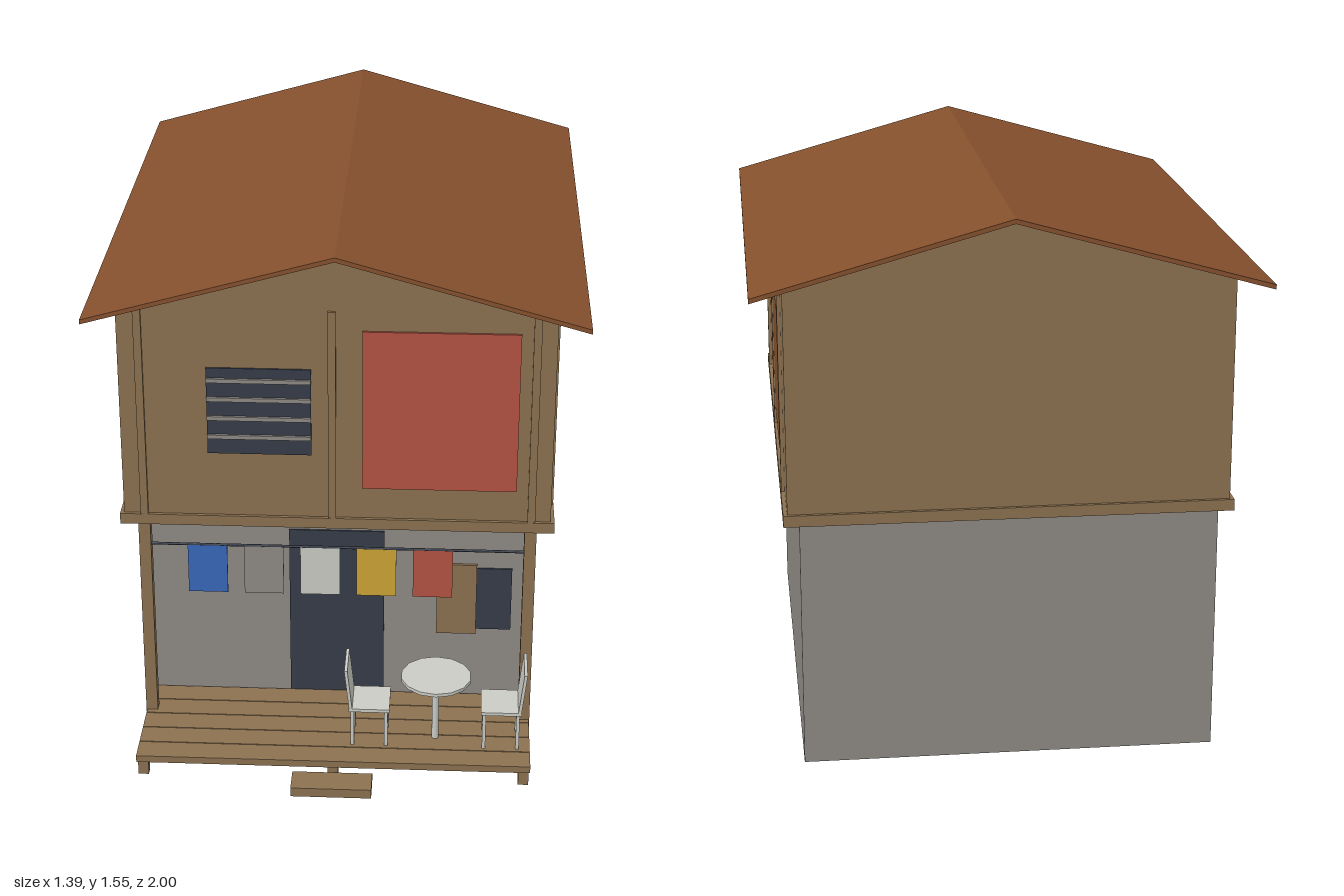
import * as THREE from 'three';

const mat = (name, color) => {
  const m = new THREE.MeshStandardMaterial({ color });
  m.name = name;
  return m;
};

export function createModel() {
  const wood = mat('wood', 0x8b7150), concrete = mat('concrete', 0x8e8a85);
  const rust = mat('rust', 0x85502d), red = mat('red', 0xb45343);
  const dark = mat('dark', 0x353b49), white = mat('white', 0xcbcbc5);
  const blue = mat('blue', 0x3767b8), yellow = mat('yellow', 0xcba335);

  const house = new THREE.Group();
  house.name = 'house';
  const add = (parent, name, geometry, material) => {
    const mesh = new THREE.Mesh(geometry, material);
    mesh.name = name;
    parent.add(mesh);
    return mesh;
  };
  // box given by its extents on each axis
  const box = (name, material, [x0, x1], [y0, y1], [z0, z1], parent = house) => {
    const mesh = add(parent, name, new THREE.BoxGeometry(x1 - x0, y1 - y0, z1 - z0), material);
    mesh.position.set((x0 + x1) / 2, (y0 + y1) / 2, (z0 + z1) / 2);
    return mesh;
  };
  // outline in x and y, extruded from z0 to z1
  const prism = (name, material, points, z0, z1) => {
    const shape = new THREE.Shape(points.map(([x, y]) => new THREE.Vector2(x, y)));
    const geometry = new THREE.ExtrudeGeometry(shape, { depth: z1 - z0, bevelEnabled: false });
    return add(house, name, geometry.translate(0, 0, z0), material);
  };

  // Ground floor, gabled upper floor and roof
  box('groundFloor', concrete, [-0.575, 0.575], [0, 0.7], [-0.925, 0.525]);
  prism('upperFloor', wood,
    [[-0.607, 0.7], [0.607, 0.7], [0.607, 1.365], [0, 1.534], [-0.607, 1.365]], -0.925, 0.67);
  box('floorBand', wood, [-0.618, 0.618], [0.7, 0.732], [-0.935, 0.68]);
  prism('roof', rust,
    [[-0.695, 1.34], [0, 1.534], [0.695, 1.34], [0.695, 1.353], [0, 1.547], [-0.695, 1.353]], -1, 0.737);

  // Wall battens
  for (const x of [-0.548, -0.012, 0.552]) {
    box('frontBatten', wood, [x - 0.011, x + 0.011], [0.732, 1.365], [0.668, 0.679]);
  }
  for (const side of [-1, 1]) {
    for (const z of [0.553, -0.085, -0.722]) {
      const batten = box('sideBatten', wood, [-0.006, 0.006], [0.732, 1.36], [z - 0.011, z + 0.011]);
      batten.position.x = side * 0.611;
    }
  }

  // Upper panels and louvred window
  box('redPanel', red, [0.073, 0.508], [0.828, 1.308], [0.668, 0.677]);
  box('sidePanel', rust, [0.604, 0.613], [0.78, 1.19], [-0.49, 0.147]);
  box('louvreWindow', dark, [-0.362, -0.07], [0.928, 1.19], [0.668, 0.675]);
  for (const y of [0.982, 1.039, 1.097, 1.154]) {
    box('louvreSlat', concrete, [-0.362, -0.07], [y - 0.006, y + 0.006], [0.675, 0.683]);
  }

  // Door, window and open shutter
  box('door', dark, [-0.147, 0.132], [0, 0.612], [0.522, 0.53]);
  box('window', dark, [0.4, 0.508], [0.293, 0.497], [0.522, 0.53]);
  box('shutter', wood, [0.288, 0.405], [0.278, 0.51], [0.526, 0.535]);

  // Porch posts, planked deck, feet and step
  for (const x of [-0.552, 0.552]) {
    box('porchPost', wood, [x - 0.017, x + 0.017], [0, 0.7], [0.632, 0.664]);
  }
  const planks = 5, deckBack = 0.53, pitch = 0.0768;
  for (let i = 0; i < planks; i++) {
    const z = deckBack + i * pitch;
    box('deckPlank', wood, [-0.567, 0.567], [0.045, 0.066], [z, z + pitch - 0.003]);
  }
  for (const x of [-0.548, 0, 0.548]) {
    for (const z of [0.553, 0.89]) {
      box('deckFoot', wood, [x - 0.015, x + 0.015], [0, 0.045], [z - 0.014, z + 0.014]);
    }
  }
  box('step', wood, [-0.115, 0.115], [0.004, 0.032], [0.917, 1]);

  // Washing line with hanging clothes
  const line = add(house, 'washingLine', new THREE.CylinderGeometry(0.004, 0.004, 1.07, 6), dark);
  line.rotation.z = Math.PI / 2;
  line.position.set(0, 0.621, 0.648);
  [blue, concrete, white, yellow, red].forEach((material, i) => {
    const x = -0.374 + i * 0.1625;
    box('cloth', material, [x - 0.057, x + 0.057], [0.467, 0.619], [0.645, 0.651]);
  });

  // Round table
  const table = new THREE.Group();
  table.name = 'table';
  table.position.set(0.292, 0.066, 0.769);
  house.add(table);
  add(table, 'tableTop', new THREE.CylinderGeometry(0.102, 0.102, 0.01, 14), white).position.y = 0.205;
  add(table, 'tableLeg', new THREE.CylinderGeometry(0.01, 0.01, 0.2, 8), white).position.y = 0.1;

  // Two chairs facing the table
  for (const [x, turn] of [[0.1, 0], [0.483, Math.PI]]) {
    const chair = new THREE.Group();
    chair.name = 'chair';
    chair.position.set(x, 0.066, 0.769);
    chair.rotation.y = turn;
    house.add(chair);
    box('seat', white, [-0.058, 0.06], [0.118, 0.128], [-0.063, 0.063], chair);
    const back = box('chairBack', white, [-0.063, -0.054], [0.122, 0.254], [-0.063, 0.063], chair);
    back.rotation.z = 0.11;
    for (const lx of [-0.047, 0.05]) {
      for (const lz of [-0.048, 0.048]) {
        box('chairLeg', white, [lx - 0.005, lx + 0.005], [0, 0.118], [lz - 0.005, lz + 0.005], chair);
      }
    }
  }

  house.position.x = -0.003;
  const model = new THREE.Group();
  model.name = 'twoStoreyHouse';
  model.add(house);
  return model;
}
